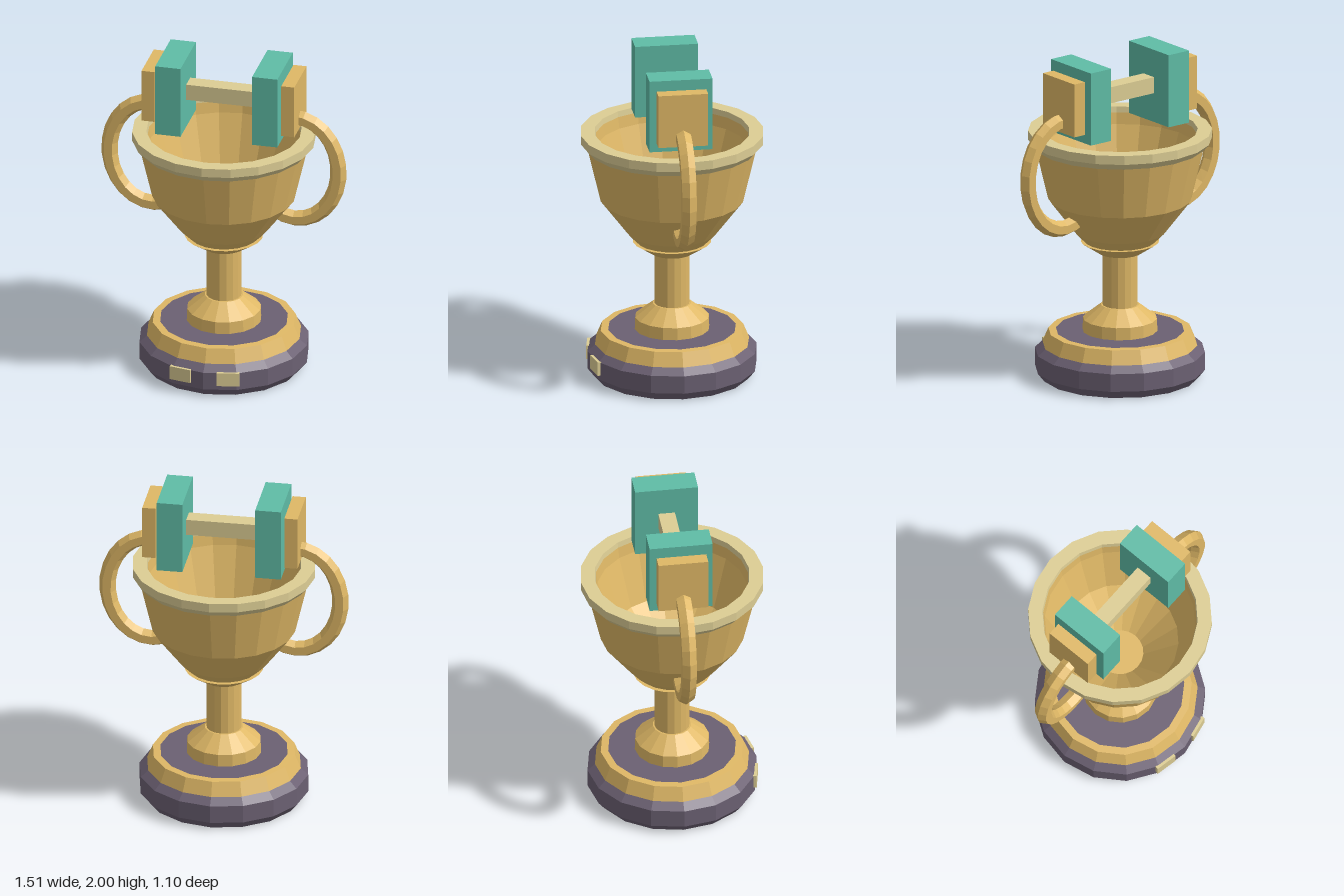
import * as THREE from 'three';

const mat = (color) => new THREE.MeshStandardMaterial({ color, flatShading: true });

export function createModel() {
  const root = new THREE.Group();
  const gold = mat(0xdfb866), pale = mat(0xdccd94), green = mat(0x5fbca6), purple = mat(0x6b6072);

  const add = (name, geometry, material, parent = root) => {
    const mesh = new THREE.Mesh(geometry, material);
    mesh.name = name;
    parent.add(mesh);
    return mesh;
  };
  // Profiles run from bottom to top on the outside, then inward
  const lathe = (name, profile, material, sides) =>
    add(name, new THREE.LatheGeometry(profile.map(([r, y]) => new THREE.Vector2(r, y)), sides), material);
  const box = (name, size, position, material) => {
    const mesh = add(name, new THREE.BoxGeometry(...size), material);
    mesh.position.set(...position);
    return mesh;
  };

  // Plinth with its gold band
  lathe('plinth', [[0, 0], [0.47, 0], [0.51, 0.05], [0.51, 0.16], [0.465, 0.2], [0.4, 0.2]], purple, 16);
  lathe('plinthBand', [[0.42, 0.2], [0.465, 0.2], [0.43, 0.285], [0.385, 0.287]], gold, 16);
  lathe('plinthTop', [[0.39, 0.285], [0, 0.285]], purple, 16);

  // Foot, stem and collar
  lathe('foot', [[0.225, 0.285], [0.222, 0.36], [0.115, 0.445], [0.09, 0.445]], gold, 16);
  lathe('stem', [[0.105, 0.44], [0.105, 0.78]], gold, 16);
  lathe('collar', [[0.1, 0.77], [0.13, 0.77], [0.235, 0.84], [0.15, 0.84]], gold, 20);

  // Hollow bowl and its rim
  lathe('bowl', [
    [0, 0.82], [0.19, 0.82], [0.27, 0.9], [0.43, 1.11], [0.51, 1.45],
    [0.465, 1.53], [0.45, 1.43], [0.35, 1.12], [0.14, 0.9], [0, 0.9],
  ], gold, 20);
  lathe('rim', [[0.5, 1.435], [0.515, 1.44], [0.55, 1.48], [0.55, 1.535], [0.465, 1.535], [0.46, 1.5]], pale, 20);

  // Handles: open hexagonal rings, stretched upward without thinning the bar
  const rx = 0.265, stretch = 0.07, tube = 0.05;
  const start = THREE.MathUtils.degToRad(-120), end = THREE.MathUtils.degToRad(107);
  for (const side of [1, -1]) {
    const handle = new THREE.Group();
    handle.name = side > 0 ? 'leftHandle' : 'rightHandle';
    handle.position.set(side * 0.44, 1.335, 0);
    if (side < 0) handle.rotation.y = Math.PI;
    root.add(handle);

    const ring = new THREE.TorusGeometry(rx, tube, 6, 16, end - start).rotateZ(start);
    const p = ring.attributes.position;
    for (let i = 0; i < p.count; i++) {
      const x = p.getX(i), y = p.getY(i);
      p.setY(i, y + stretch * y / Math.hypot(x, y));
    }
    add('handleBar', ring, gold, handle);

    for (const [angle, turn] of [[start, Math.PI / 2], [end, -Math.PI / 2]]) {
      const cap = new THREE.CircleGeometry(tube, 6).rotateX(turn).rotateZ(angle);
      cap.translate(rx * Math.cos(angle), (rx + stretch) * Math.sin(angle), 0);
      add('handleEnd', cap, gold, handle);
    }
  }

  // Dumbbell resting above the cup
  box('dumbbellBar', [0.82, 0.1, 0.1], [0, 1.78, 0], pale);
  for (const side of [1, -1]) {
    box('largeWeight', [0.155, 0.45, 0.38], [side * 0.298, 1.775, 0], green);
    box('smallWeight', [0.08, 0.33, 0.3], [side * 0.43, 1.775, 0], gold);

    // Plaques on the two front facets of the plinth
    const plaque = box('plaque', [0.135, 0.085, 0.03], [side * 0.145, 0.122, 0.478], pale);
    plaque.rotation.y = side * Math.PI / 16;
  }

  return root;
}
